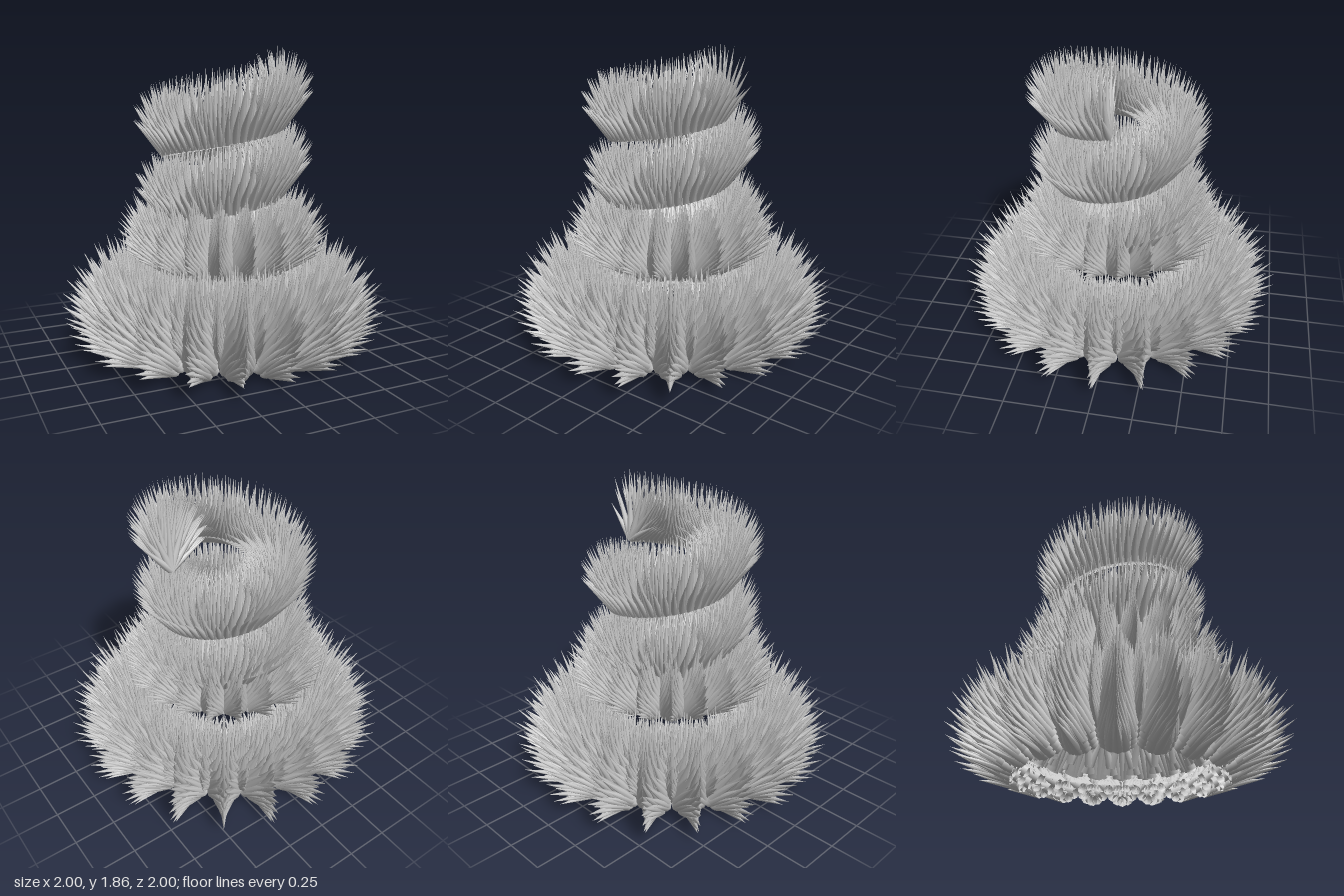
import * as THREE from 'three';
import { mergeGeometries } from 'three/addons/utils/BufferGeometryUtils.js';

const UP = new THREE.Vector3(0, 1, 0);
const rad = THREE.MathUtils.degToRad;
const material = new THREE.MeshStandardMaterial({ color: 0xcccccc, side: THREE.DoubleSide });

// One slender cone: root at (radius r, height y, azimuth az), pointing along
// azimuth dirAz at the given elevation (over 90 degrees leans inward).
function spike(r, y, az, dirAz, elevation, length, width) {
  const g = new THREE.ConeGeometry(width, length, 8, 1, true).translate(0, length / 2, 0);
  const out = Math.cos(elevation);
  const dir = new THREE.Vector3(out * Math.cos(dirAz), Math.sin(elevation), out * Math.sin(dirAz));
  g.applyQuaternion(new THREE.Quaternion().setFromUnitVectors(UP, dir.normalize()));
  return g.translate(r * Math.cos(az), y, r * Math.sin(az));
}

function part(name, spikes) {
  const mesh = new THREE.Mesh(mergeGeometries(spikes), material);
  mesh.name = name;
  return mesh;
}

// A ring of 20 pointed leaves. Each leaf is a fan of spikes opening from low
// and outward, past upright, to inward; its side spikes are shorter, steeper
// and lean toward the midline.
function leafRing(name, o) {
  const spikes = [];
  for (let k = 0; k < 20; k++) {
    const mid = rad(k * 18 + o.turn);
    for (let j = 0; j < o.rows; j++) {
      const s = j / (o.rows - 1) * o.sweep;
      const phi = rad(-80 + 155 * s);
      const rise = o.low + (78 - o.low) * s ** 1.2;
      const length = s < 1 ? o.short + (o.long - o.short) * s : o.long - 0.25 * (s - 1);
      for (let i = -3; i <= 3; i++) {
        const u = i / 3, side = Math.abs(u);
        const elevation = rise + 18 * side * Math.max(0, 1 - s);
        spikes.push(spike(
          o.r + o.size * Math.cos(phi) - o.wave * u * u,
          o.y + o.size * Math.sin(phi) + o.wave * u * u,
          mid + rad(o.spread * u), mid - rad(20 * u), rad(elevation),
          length * (1 - 0.3 * side), o.width));
      }
    }
  }
  return part(name, spikes);
}

// Spikes pointing to the axis, leaving a small star-shaped opening
function innerStar() {
  const spikes = [];
  for (let k = 0; k < 20; k++) {
    const mid = rad(k * 18 + 9);
    for (let j = 0; j < 4; j++) {
      for (let i = -1; i <= 1; i++) {
        spikes.push(spike(0.37, 0.56 + j * 0.03, mid + rad(5 * i), mid, rad(155 - j * 14),
          0.37 - 0.03 * Math.abs(i), 0.05));
      }
    }
  }
  return part('innerStar', spikes);
}

// Rising spiral band: at every step a fan opens from outward to inward,
// alternate spikes staggered by half a step
function spiralBand() {
  const spikes = [];
  const turns = 2, steps = 58, fan = 11;
  for (let n = 0; n < turns * steps; n++) {
    for (let f = 0; f < fan; f++) {
      const t = (n + (f % 2) / 2) / steps;
      const az = t * Math.PI * 2;
      const tilt = -62 + 104 * f / (fan - 1);
      const length = 0.43 - 0.16 * (tilt / (tilt > 0 ? 42 : 62)) ** 2;
      spikes.push(spike(0.36, 1.42 - 0.4 * t, az, az, rad(90 - tilt), length, 0.025));
    }
  }
  return part('spiralBand', spikes);
}

export function createModel() {
  const group = new THREE.Group();
  group.name = 'spikySpiralTower';
  group.add(
    leafRing('baseLeaves', { turn: 0, rows: 14, sweep: 1.55, low: 12, r: 0.6, size: 0.09, y: 0.115, wave: 0.06, spread: 9, short: 0.3, long: 0.5, width: 0.034 }),
    leafRing('baseGapLeaves', { turn: 9, rows: 9, sweep: 1.55, low: 35, r: 0.57, size: 0.06, y: 0.16, wave: 0, spread: 6, short: 0.24, long: 0.42, width: 0.03 }),
    leafRing('middleLeaves', { turn: 9, rows: 10, sweep: 1.25, low: 25, r: 0.38, size: 0.05, y: 0.57, wave: 0.02, spread: 9, short: 0.24, long: 0.42, width: 0.026 }),
    innerStar(),
    spiralBand(),
  );
  return group;
}
